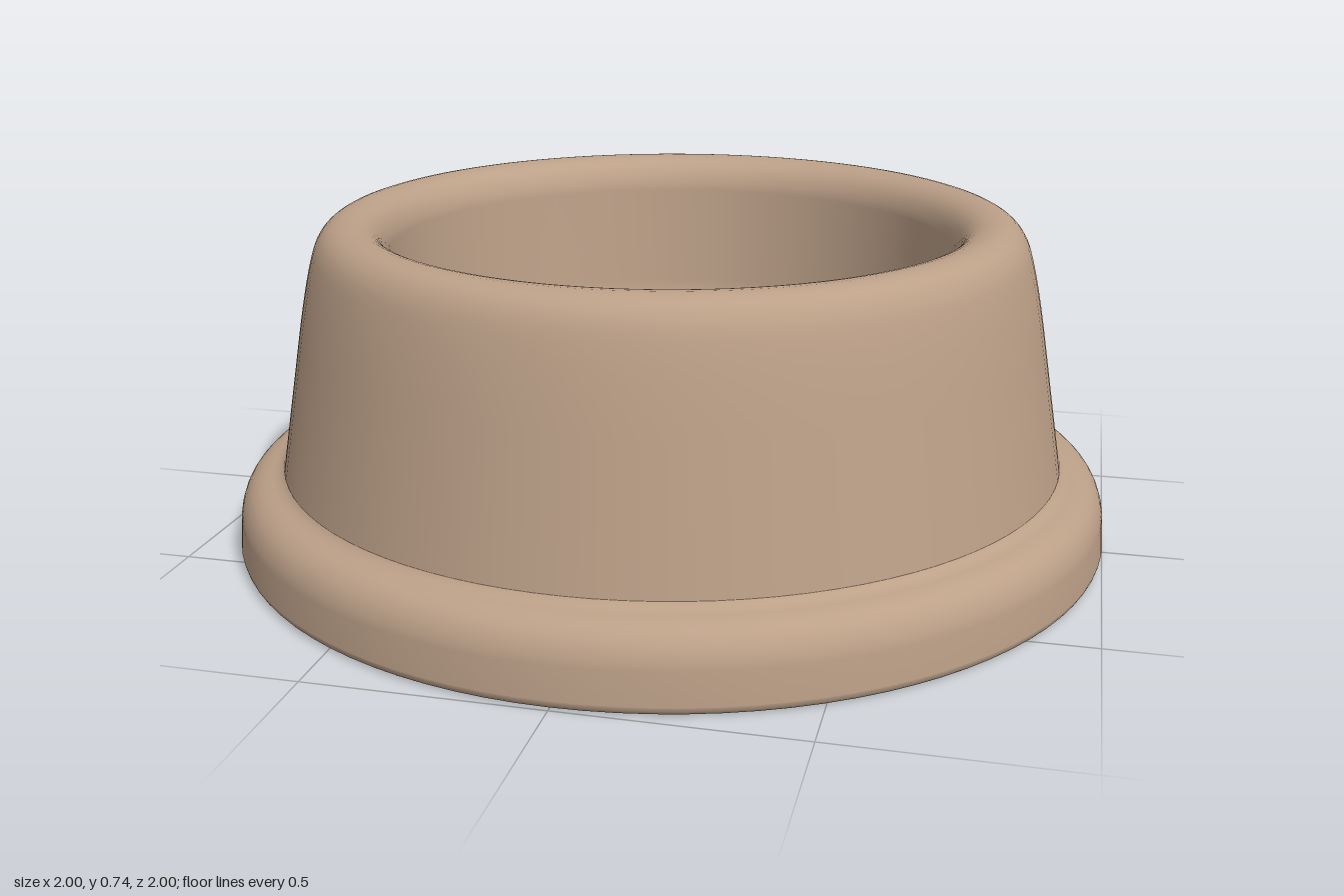
import * as THREE from 'three';

const SEGMENTS = 96;

// Joins profile pieces (each a curve) into one list of points
function sample(curves, n = 8) {
  const points = [];
  curves.forEach((c, i) => {
    const p = c.getPoints(c.isLineCurve ? 1 : n);
    points.push(...(i ? p.slice(1) : p));
  });
  return points;
}

const v = (x, y) => new THREE.Vector2(x, y);
const line = (a, b) => new THREE.LineCurve(v(...a), v(...b));
const bend = (a, b, c) => new THREE.QuadraticBezierCurve(v(...a), v(...b), v(...c));

export function createModel() {
  const group = new THREE.Group();
  const clay = new THREE.MeshStandardMaterial({ color: 0xbca088 });
  clay.name = 'warm tan';
  const dark = new THREE.MeshStandardMaterial({ color: 0x3a2e22 });
  dark.name = 'dark brown';

  const add = (name, geometry, material) => {
    const mesh = new THREE.Mesh(geometry, material);
    mesh.name = name;
    group.add(mesh);
    return mesh;
  };
  const lathe = (curves) => new THREE.LatheGeometry(sample(curves), SEGMENTS);

  // Rounded foot ring
  add('footRing', lathe([
    bend([0.985, 0.01], [0.997, 0.012], [1, 0.03]),
    line([1, 0.03], [0.995, 0.1]),
    bend([0.995, 0.1], [0.985, 0.165], [0.93, 0.178]),
    bend([0.93, 0.178], [0.905, 0.182], [0.895, 0.195]),
  ]), clay);

  // Sloping wall, rounded rim, hollow and floor
  add('bowl', lathe([
    line([0.895, 0.19], [0.845, 0.49]),
    bend([0.845, 0.49], [0.825, 0.61], [0.808, 0.67]),
    bend([0.808, 0.67], [0.79, 0.745], [0.73, 0.75]),
    bend([0.73, 0.75], [0.655, 0.75], [0.642, 0.67]),
    line([0.642, 0.67], [0.628, 0.43]),
    bend([0.628, 0.43], [0.61, 0.285], [0.45, 0.27]),
    bend([0.45, 0.27], [0.25, 0.255], [0, 0.255]),
  ]), clay);

  // Flat underside
  const base = add('underside', new THREE.CircleGeometry(0.986, SEGMENTS), dark);
  base.rotation.x = Math.PI / 2;
  base.position.y = 0.01;

  return group;
}
